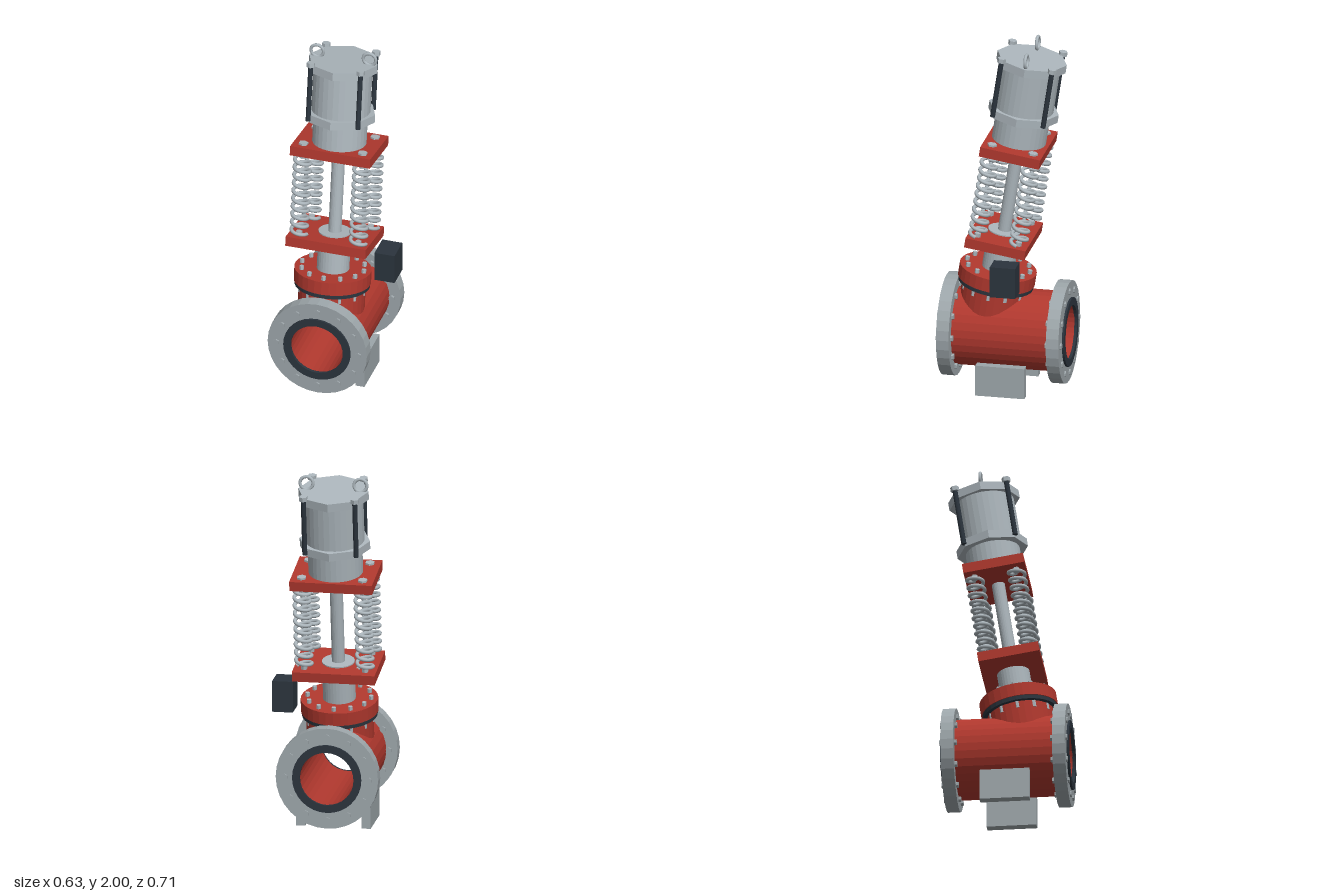
import * as THREE from 'three';

const mat = (name, color) => {
  const m = new THREE.MeshStandardMaterial({ color });
  m.name = name;
  return m;
};

export function createModel() {
  const red = mat('red paint', 0xb0382e);
  const steel = mat('light steel', 0xacb6bc);
  const grey = mat('flange grey', 0x9da6aa);
  const dark = mat('dark slate', 0x2b343d);

  const root = new THREE.Group();
  root.name = 'valve';
  const axisX = -0.03;

  // Faceted normals
  const flat = (g) => {
    const f = g.index ? g.toNonIndexed() : g;
    f.computeVertexNormals();
    return f;
  };
  const add = (parent, name, geo, material, x = 0, y = 0, z = 0) => {
    const m = new THREE.Mesh(geo, material);
    m.name = name;
    m.position.set(x, y, z);
    parent.add(m);
    return m;
  };
  // Upright cylinder between two heights
  const post = (parent, name, material, r, y0, y1, sides = 32, x = 0, z = 0) =>
    add(parent, name, flat(new THREE.CylinderGeometry(r, r, y1 - y0, sides)), material, x, (y0 + y1) / 2, z);
  // Hollow ring between two heights
  const ring = (parent, name, material, ri, ro, y0, y1, sides = 32) => {
    const pts = [[ri, y0], [ro, y0], [ro, y1], [ri, y1], [ri, y0]].map(([a, b]) => new THREE.Vector2(a, b));
    return add(parent, name, flat(new THREE.LatheGeometry(pts, sides)), material);
  };
  const box = (parent, name, material, w, h, d, x, y, z) =>
    add(parent, name, new THREE.BoxGeometry(w, h, d), material, x, y, z);

  // Horizontal pipe: local y runs along z
  const pipe = new THREE.Group();
  pipe.name = 'pipeBody';
  pipe.position.set(axisX, 0.335, 0);
  pipe.rotation.x = Math.PI / 2;
  root.add(pipe);
  ring(pipe, 'pipe', red, 0.15, 0.222, -0.34, 0.34);
  for (const s of [-1, 1]) {
    const span = (a, b) => (s > 0 ? [a, b] : [-b, -a]);
    ring(pipe, 'pipeFlange', grey, 0.18, 0.285, ...span(0.272, 0.343));
    ring(pipe, 'pipeGasket', dark, 0.15, 0.192, ...span(0.338, 0.355));
    for (let i = 0; i < 12; i++) {
      const a = (i * Math.PI) / 6;
      post(pipe, 'flangeBolt', grey, 0.018, ...span(0.258, 0.352), 6, Math.sin(a) * 0.235, Math.cos(a) * 0.235);
    }
  }

  // Feet and control box
  for (const s of [-1, 1]) box(root, 'foot', grey, 0.05, 0.175, 0.275, axisX + s * 0.182, 0.0875, 0.002);
  box(root, 'controlBox', dark, 0.115, 0.175, 0.143, 0.2575, 0.7225, -0.043);

  // Tilted stem assembly, centred on the lower plate
  const stem = new THREE.Group();
  stem.name = 'stemAssembly';
  stem.position.set(axisX, 0.873, 0.025);
  stem.rotation.x = -0.152;
  root.add(stem);

  // Bonnet
  post(stem, 'bonnetNeck', red, 0.185, -0.428, -0.28);
  post(stem, 'bonnetGasket', dark, 0.208, -0.287, -0.263);
  post(stem, 'bonnetFlange', red, 0.213, -0.264, -0.19);
  for (let i = 0; i < 12; i++) {
    const a = (i * Math.PI) / 6;
    post(stem, 'bonnetBolt', steel, 0.013, -0.325, -0.168, 6, Math.sin(a) * 0.177, Math.cos(a) * 0.177);
  }
  post(stem, 'bonnetCollar', steel, 0.09, -0.2, 0.034);

  // Plates and stem rod
  box(stem, 'lowerPlate', red, 0.46, 0.055, 0.34, 0, 0, 0);
  box(stem, 'upperPlate', red, 0.46, 0.055, 0.34, 0, 0.545, 0);
  post(stem, 'stemRod', steel, 0.036, 0.02, 0.53, 24);

  // Coil springs with their bolts
  const turns = 10;
  const coil = [];
  for (let i = 0; i <= turns * 12; i++) {
    const a = (i * Math.PI) / 6;
    coil.push(new THREE.Vector3(Math.cos(a) * 0.044, 0.038 + (0.469 * i) / (turns * 12), Math.sin(a) * 0.044));
  }
  const springGeo = new THREE.TubeGeometry(new THREE.CatmullRomCurve3(coil), turns * 20, 0.0105, 8);
  for (const sx of [-1, 1]) {
    for (const sz of [-1, 1]) {
      const x = sx * 0.17, z = sz * 0.116;
      add(stem, 'spring', springGeo, steel, x, 0, z);
      post(stem, 'springBolt', steel, 0.027, 0.57, 0.583, 6, x, z);
      post(stem, 'upperStud', steel, 0.018, 0.49, 0.53, 6, x, z);
      post(stem, 'lowerStud', steel, 0.018, 0.02, 0.05, 6, x, z);
    }
  }

  // Actuator with octagonal end caps
  post(stem, 'actuatorNeck', steel, 0.15, 0.57, 0.725);
  post(stem, 'actuatorBaseCap', steel, 0.196, 0.718, 0.764, 8);
  post(stem, 'actuatorBody', steel, 0.163, 0.76, 1.02);
  post(stem, 'actuatorTopCap', steel, 0.196, 1.015, 1.062, 8);
  for (const sx of [-1, 1]) {
    for (const sz of [-1, 1]) {
      post(stem, 'tieRod', dark, 0.014, 0.73, 1.056, 12, sx * 0.143, sz * 0.143);
      post(stem, 'tieRodNut', steel, 0.024, 1.055, 1.08, 6, sx * 0.143, sz * 0.143);
    }
  }

  // Lifting eyes
  for (const s of [-1, 1]) {
    add(root, 'liftingEye', new THREE.TorusGeometry(0.036, 0.009, 10, 28), steel, axisX + s * 0.15, 1.955, -0.135);
  }
  return root;
}
